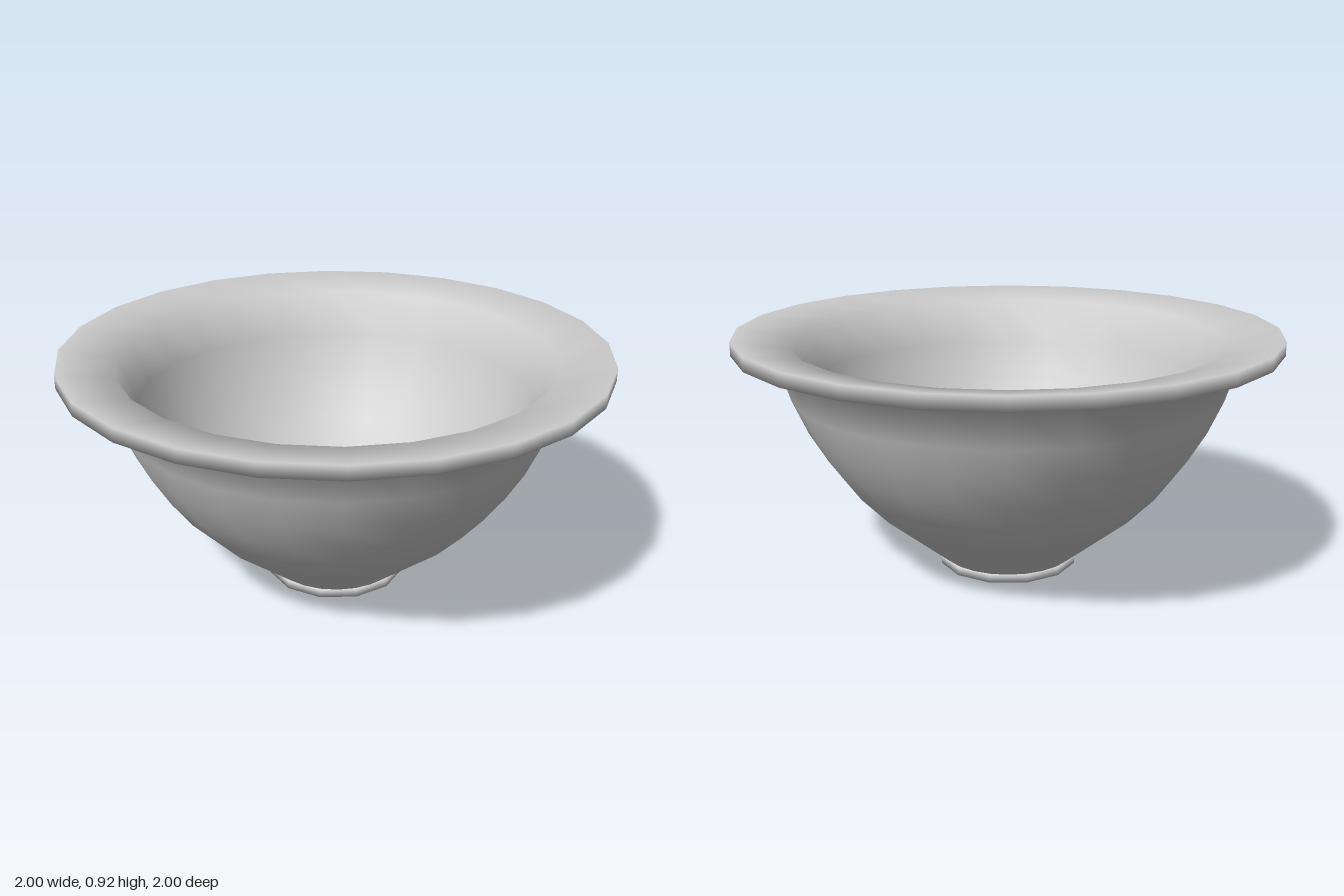
import * as THREE from 'three';

const material = new THREE.MeshStandardMaterial({ color: 0xcccccc });

// Smooth turned surface from a list of [radius, height] points
function turned(name, points, sides) {
  const profile = points.map(([r, y]) => new THREE.Vector2(r, y));
  const mesh = new THREE.Mesh(new THREE.LatheGeometry(profile, sides), material);
  mesh.name = name;
  return mesh;
}

export function createModel() {
  const bowl = new THREE.Group();
  bowl.name = 'bowl';

  // Low foot with a slightly domed underside
  const foot = turned('foot', [
    [0, 0], [0.14, 0], [0.265, 0.007], [0.265, 0.038], [0.2, 0.038]
  ], 12);

  // One continuous shell: outer wall, flared rim, then the hollow
  const shell = turned('shell', [
    // outer wall
    [0.252, 0.036], [0.5, 0.24], [0.605, 0.35], [0.68, 0.455],
    [0.745, 0.565], [0.8, 0.69], [0.845, 0.835],
    // rim
    [1, 0.865], [1, 0.915], [0.797, 0.88],
    // hollow
    [0.735, 0.715], [0.68, 0.595], [0.62, 0.495], [0.55, 0.4],
    [0.445, 0.295], [0.3, 0.19], [0.15, 0.135], [0, 0.12]
  ], 24);

  bowl.add(foot, shell);
  return bowl;
}
